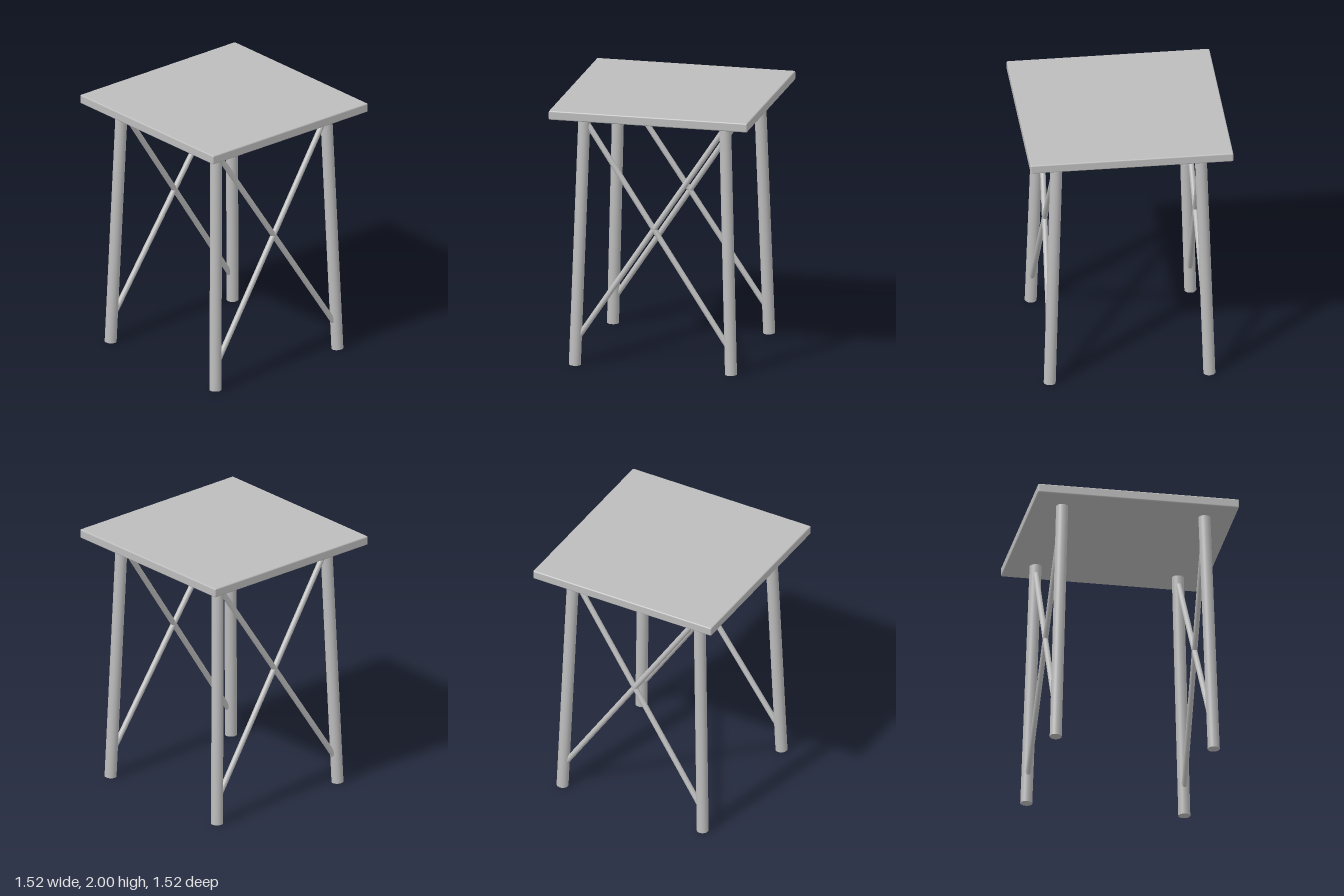
import * as THREE from 'three';
import { RoundedBoxGeometry } from 'three/addons/geometries/RoundedBoxGeometry.js';

export function createModel() {
  const group = new THREE.Group();
  group.name = 'stool';
  const grey = new THREE.MeshStandardMaterial({ color: 0xbcbcbc });
  grey.name = 'plain grey';

  // Round bar between two points
  function bar(name, a, b, radius, sides) {
    const dir = b.clone().sub(a);
    const mesh = new THREE.Mesh(new THREE.CylinderGeometry(radius, radius, dir.length(), sides), grey);
    mesh.position.copy(a).add(b).multiplyScalar(0.5);
    mesh.quaternion.setFromUnitVectors(new THREE.Vector3(0, 1, 0), dir.normalize());
    mesh.name = name;
    group.add(mesh);
  }

  // Point on the centre line of a splayed leg at height y
  const legPoint = (sx, sz, y) => {
    const r = 0.6 - 0.06 * y / 1.93;
    return new THREE.Vector3(sx * r, y, sz * r);
  };

  // Square seat with softened edges
  const seat = new THREE.Mesh(new RoundedBoxGeometry(1.525, 0.07, 1.525, 3, 0.01), grey);
  seat.name = 'seat';
  seat.position.y = 1.965;
  group.add(seat);

  for (const sz of [1, -1]) {
    const end = sz > 0 ? 'front' : 'back';
    for (const sx of [1, -1]) {
      const side = sx > 0 ? 'Left' : 'Right';
      // Splayed leg
      bar(`${end}${side}Leg`, legPoint(sx, sz, 0.003), legPoint(sx, sz, 1.94), 0.045, 32);
      // Diagonal brace, crossing its mirror image
      bar(`${end}${side}Brace`, legPoint(sx, sz, 0.185), legPoint(-sx, sz, 1.895), 0.021, 24);
    }
  }
  return group;
}
